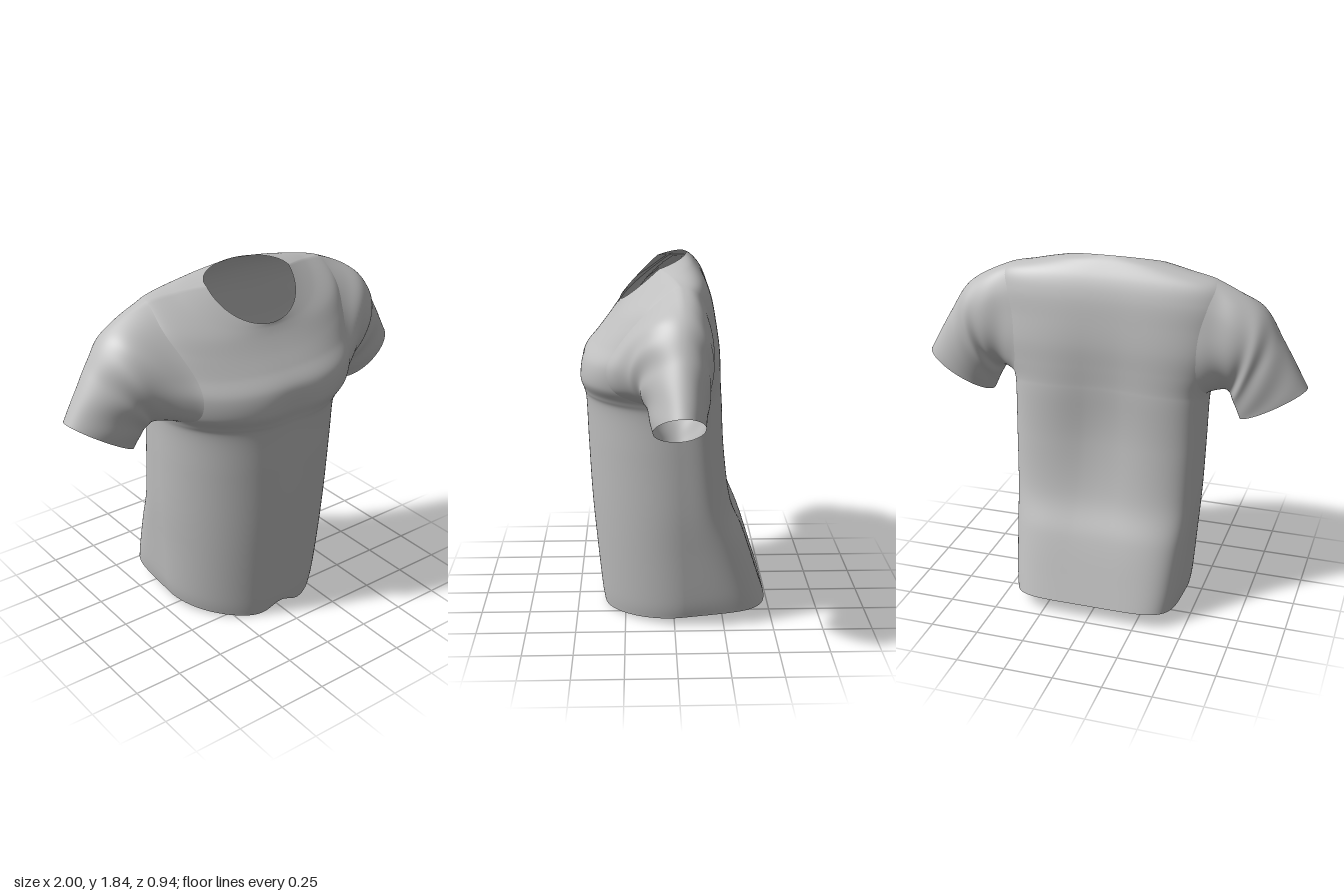
import * as THREE from 'three';

const cloth = new THREE.MeshStandardMaterial({ color: 0xbfbfbf, side: THREE.DoubleSide });
cloth.name = 'grey cloth';

// Smoothly interpolate rows of numbers (Catmull-Rom), u from 0 to 1
function sampleRows(rows, u) {
  const s = u * (rows.length - 1);
  const i = Math.min(Math.floor(s), rows.length - 2);
  const f = s - i;
  const row = k => rows[Math.max(0, Math.min(rows.length - 1, k))];
  return rows[i].map((b, k) => {
    const a = row(i - 1)[k], c = row(i + 1)[k], d = row(i + 2)[k];
    return b + 0.5 * f * (c - a + f * (2 * a - 5 * b + 4 * c - d + f * (3 * (b - c) + d - a)));
  });
}

// Loft of closed rings; point(u, t) gives [x, y, z], skip(u, t) leaves holes
function loft(point, rings, cols, skip = () => false) {
  const pos = [], index = [];
  const angle = j => (j / cols) * Math.PI * 2;
  for (let i = 0; i <= rings; i++)
    for (let j = 0; j < cols; j++) pos.push(...point(i / rings, angle(j)));
  for (let i = 0; i < rings; i++)
    for (let j = 0; j < cols; j++) {
      if (skip((i + 0.5) / rings, angle(j + 0.5))) continue;
      const a = i * cols + j, b = i * cols + (j + 1) % cols;
      index.push(a, b, b + cols, a, b + cols, a + cols);
    }
  const g = new THREE.BufferGeometry();
  g.setAttribute('position', new THREE.Float32BufferAttribute(pos, 3));
  g.setIndex(index);
  g.computeVertexNormals();
  return g;
}

const bump = (v, centre, width) => Math.exp(-(((v - centre) / width) ** 2));

// Torso rings, hem to neckline:
// front y, front z, side x, side y, side z, back y, back z, front and back squareness
const torsoRows = [
  [0.00, 0.385, 0.435, 0.05, -0.05, 0.09, -0.475, 1.8, 5.5],
  [0.10, 0.395, 0.45, 0.14, -0.05, 0.20, -0.44, 1.85, 5.2],
  [0.35, 0.417, 0.468, 0.38, -0.04, 0.42, -0.372, 1.9, 4.6],
  [0.60, 0.437, 0.485, 0.62, -0.03, 0.62, -0.30, 1.9, 4.0],
  [0.90, 0.45, 0.495, 0.90, -0.02, 0.90, -0.264, 1.95, 3.8],
  [1.12, 0.457, 0.50, 1.10, -0.01, 1.15, -0.252, 2.0, 3.6],
  [1.18, 0.464, 0.51, 1.175, 0.00, 1.22, -0.247, 2.15, 3.5],
  [1.25, 0.476, 0.54, 1.25, 0.00, 1.31, -0.242, 2.45, 3.4],
  [1.35, 0.455, 0.58, 1.37, 0.00, 1.42, -0.234, 2.45, 3.3],
  [1.43, 0.392, 0.60, 1.50, 0.00, 1.54, -0.215, 2.35, 3.2],
  [1.50, 0.337, 0.60, 1.65, -0.02, 1.66, -0.19, 2.3, 3.2],
  [1.56, 0.295, 0.555, 1.752, -0.02, 1.75, -0.155, 2.2, 3.0],
  [1.60, 0.272, 0.39, 1.785, 0.02, 1.82, -0.105, 2.1, 2.5],
  [1.62, 0.265, 0.25, 1.80, 0.07, 1.85, -0.07, 2.0, 2.0],
];

function torsoPoint(u, t) {
  const [fy, fz, sx, sy, sz, by, bz, fn, bn] = sampleRows(torsoRows, u);
  const s = Math.sin(t), c = Math.cos(t), front = c >= 0;
  const e = 2 / (front ? fn : bn);
  const w = Math.abs(c) ** e;
  const x = sx * Math.sign(s) * Math.abs(s) ** e;
  let y = sy + ((front ? fy : by) - sy) * w;
  let z = sz + ((front ? fz : bz) - sz) * w;
  if (front) {
    // Shallow dip down the middle of the front, lifted at the hem
    z -= 0.018 * w * bump(x, 0, 0.12) * (y < 1.2 ? 1 : bump(y, 1.2, 0.12));
    y += 0.05 * w * bump(x, 0, 0.09) * bump(u, 0, 0.05);
  } else {
    // Hollow along the spine
    z += 0.045 * w * bump(x, 0, 0.2) * bump(y, 1.0, 0.45);
  }
  return [x, y, z];
}

// Armhole: an oval in the torso's own coordinates
const hole = { u: 0.66, height: 0.2, front: 0.75, back: 0.8 };

function armholePoint(t, scale) {
  const s = Math.sin(t);
  return torsoPoint(
    hole.u + scale * hole.height * Math.cos(t),
    Math.PI / 2 - scale * s * (s > 0 ? hole.front : hole.back),
  );
}

function insideArmhole(u, t) {
  const turn = Math.PI / 2 - (t < Math.PI ? t : 2 * Math.PI - t);
  return Math.hypot((u - hole.u) / hole.height, turn / (turn > 0 ? hole.front : hole.back)) < 0.94;
}

// Sleeve sections, upper arm to cuff: top x y z, bottom x y z, front and back depth
const sleeveSections = [
  [0.75, 1.65, -0.03, 0.59, 1.187, 0.03, 0.21, 0.17],
  [0.87, 1.48, -0.03, 0.625, 1.14, 0.01, 0.16, 0.145],
  [1.00, 1.255, -0.03, 0.665, 1.05, 0.00, 0.125, 0.115],
];

function sleevePoint(u, t) {
  const c = Math.cos(t), s = Math.sin(t);
  const rings = sleeveSections.map(([tx, ty, tz, bx, by, bz, df, db]) => [
    (tx + bx + (tx - bx) * c) / 2,
    (ty + by + (ty - by) * c) / 2,
    (tz + bz + (tz - bz) * c) / 2 + s * (s > 0 ? df : db),
  ]);
  // The wider ring on the torso only sets the direction at the seam
  const path = [armholePoint(t, 1.3), armholePoint(t, 1), ...rings];
  const [x, y, z] = sampleRows(path, (1 + 3 * u) / 4);
  // Slanting creases, fading at both ends
  return [x, y, z + 0.005 * s * Math.sin(u * 24 + 3 * t) * Math.sin(u * Math.PI)];
}

export function createModel() {
  const shirt = new THREE.Group();
  shirt.name = 'shirt';

  const torso = new THREE.Mesh(loft(torsoPoint, 130, 200, insideArmhole), cloth);
  torso.name = 'torso';
  shirt.add(torso);

  for (const side of [1, -1]) {
    const point = (u, t) => {
      const [x, y, z] = sleevePoint(u, side * t);
      return [side * x, y, z];
    };
    const sleeve = new THREE.Mesh(loft(point, 48, 96), cloth);
    sleeve.name = side > 0 ? 'leftSleeve' : 'rightSleeve';
    shirt.add(sleeve);
  }
  return shirt;
}
